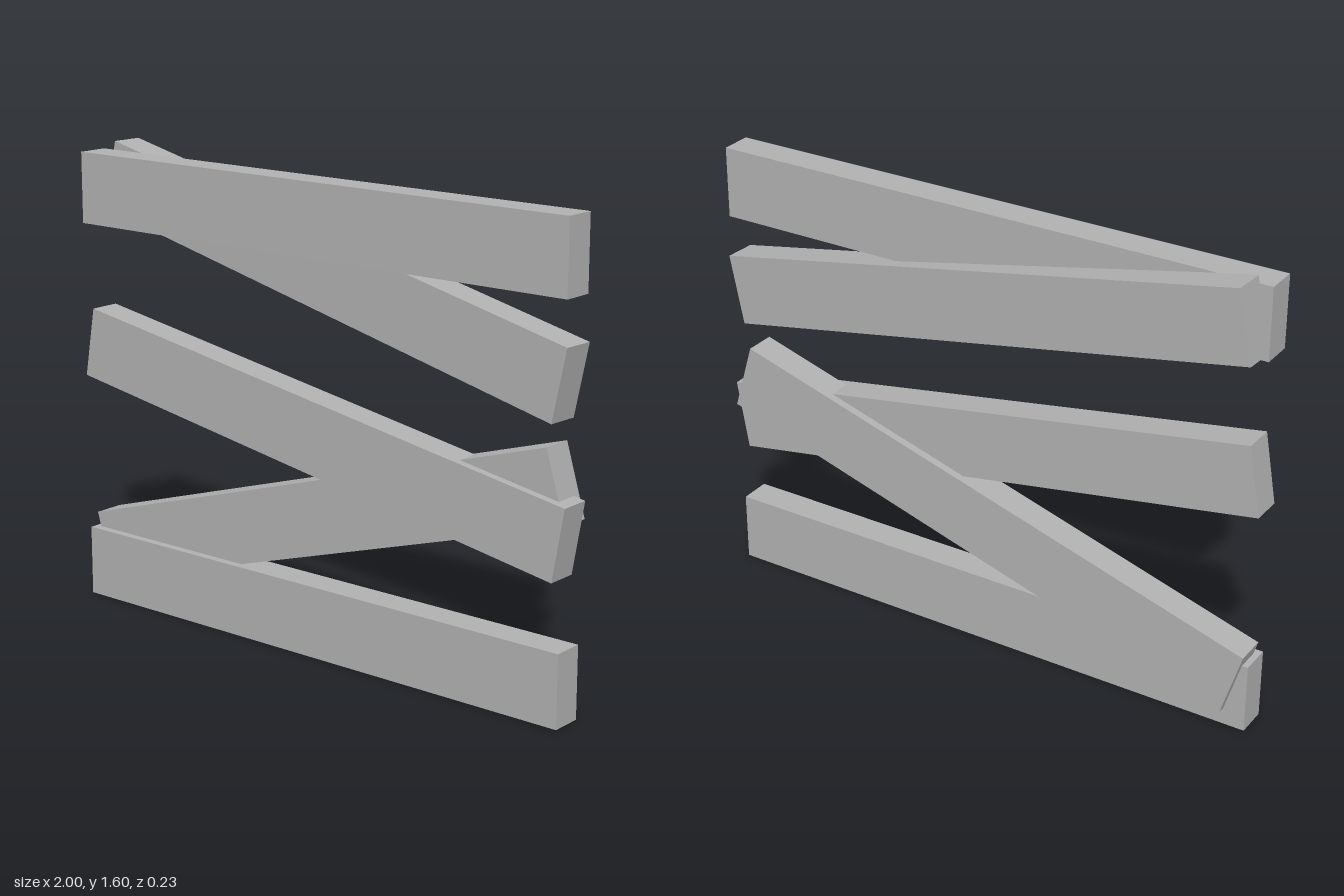
import * as THREE from 'three';

const deg = THREE.MathUtils.degToRad;

export function createModel() {
  const group = new THREE.Group();
  const grey = new THREE.MeshStandardMaterial({ color: 0xb0b0b0 });
  grey.name = 'plank grey';

  const plankGeometry = new THREE.BoxGeometry(1.987, 0.244, 0.108);

  // One plank: centre, tilt about z and swing about y, in degrees
  function addPlank(name, x, y, z, tilt = 0, swing = 0) {
    const plank = new THREE.Mesh(plankGeometry, grey);
    plank.name = name;
    plank.position.set(x, y, z);
    plank.rotation.set(0, deg(swing), deg(tilt));
    group.add(plank);
  }

  // Front row
  addPlank('bottomPlank', -0.004, 0.122, 0.054);
  addPlank('middlePlank', 0, 0.749, 0.054, -9.7);
  addPlank('topPlank', -0.004, 1.452, 0.054);

  // Planks leaning behind
  addPlank('lowerBackPlank', -0.005, 0.464, 0.026, 16.8);
  addPlank('upperBackPlank', -0.003, 1.275, -0.008, -12.1, -3.2);

  return group;
}
